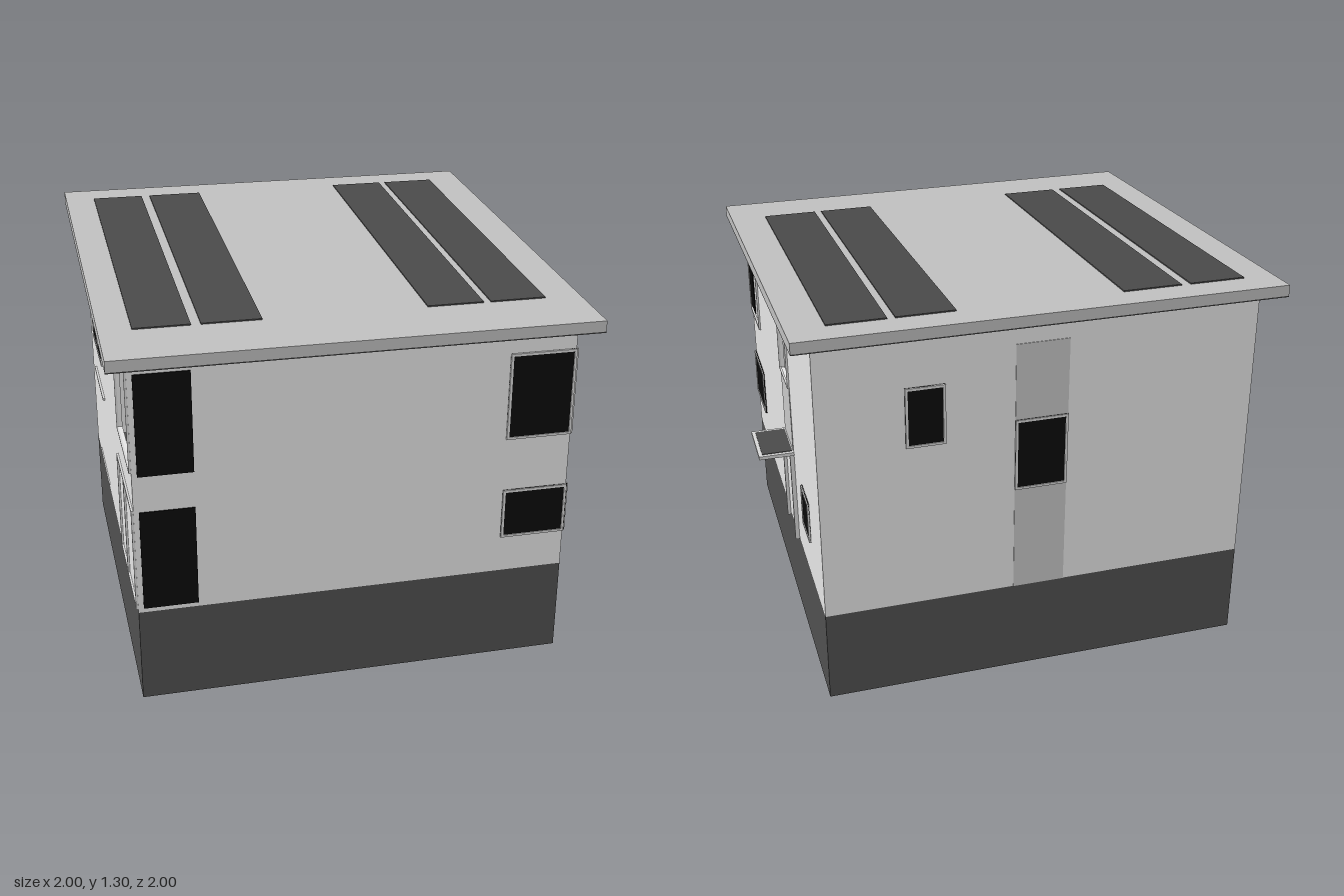
import * as THREE from 'three';

const HALF = 0.703;      // half width of the walls
const EAVE = 0.767;      // half width of the roof
const BASE = 0.315;      // height of the dark plinth
const SLOPE = 0.0717;    // fall of the roof towards the front
const TURN = -0.388;     // the house stands turned on its plot

const material = (name, color) => {
  const m = new THREE.MeshStandardMaterial({ color });
  m.name = name;
  return m;
};

export function createModel() {
  const wallMat = material('light render', 0xe6e6e6);
  const baseMat = material('dark plinth', 0x505050);
  const roofMat = material('roof grey', 0xc0c0c0);
  const panelMat = material('solar panel', 0x4a4a4a);
  const glassMat = material('black glass', 0x0b0b0b);
  const frameMat = material('frame', 0xd8d8d8);
  const stripeMat = material('grey cladding', 0xc8c8c8);

  const house = new THREE.Group();
  house.name = 'house';
  house.rotation.y = TURN;

  const add = (parent, name, geometry, mat) => {
    const mesh = new THREE.Mesh(geometry, mat);
    mesh.name = name;
    parent.add(mesh);
    return mesh;
  };

  // Plinth
  add(house, 'plinth', new THREE.BoxGeometry(2 * HALF, BASE, 2 * HALF), baseMat).position.y = BASE / 2;

  // Sloping slab: a box sheared along the fall of the roof; top is its height at z = 0
  const slab = (name, mat, x0, x1, z0, z1, top, thick) => {
    const g = new THREE.BoxGeometry(x1 - x0, thick, z1 - z0);
    g.translate((x0 + x1) / 2, top - thick / 2, (z0 + z1) / 2);
    const p = g.attributes.position;
    for (let i = 0; i < p.count; i++) p.setY(i, p.getY(i) - SLOPE * p.getZ(i));
    g.computeVertexNormals();
    add(house, name, g, mat);
  };
  slab('roof', roofMat, -EAVE, EAVE, -EAVE, EAVE, 1.2425, 0.035);
  slab('roofUnderside', baseMat, -EAVE, EAVE, -EAVE, EAVE, 1.2075, 0.004);
  for (const [x0, x1] of [[-0.665, -0.487], [-0.457, -0.268], [0.257, 0.441], [0.465, 0.647]])
    slab('solarPanel', panelMat, x0, x1, -0.66, 0.56, 1.2465, 0.004);

  // Rectangle outline used for walls' holes and frames
  const trace = (path, x0, x1, y0, y1) => {
    path.moveTo(x0, y0);
    path.lineTo(x1, y0);
    path.lineTo(x1, y1);
    path.lineTo(x0, y1);
    path.closePath();
    return path;
  };

  // Wall: local x runs to the right seen from outside, z = 0 is the outer face
  const makeWall = (name, angle, zLeft, zRight, holes = []) => {
    const group = new THREE.Group();
    group.name = name;
    group.rotation.y = angle;
    const shape = new THREE.Shape();
    shape.moveTo(-HALF, BASE);
    shape.lineTo(HALF, BASE);
    shape.lineTo(HALF, 1.206 - SLOPE * zRight);
    shape.lineTo(-HALF, 1.206 - SLOPE * zLeft);
    shape.closePath();
    for (const h of holes) shape.holes.push(trace(new THREE.Path(), ...h));
    const g = new THREE.ExtrudeGeometry(shape, { depth: 0.012, bevelEnabled: false });
    g.translate(0, 0, HALF - 0.012);
    add(group, name + 'Panel', g, wallMat);
    house.add(group);
    return group;
  };

  // Thin plate or box standing on the outer face of a wall
  const plate = (wall, name, mat, x0, x1, y0, y1, depth = 0.004) => {
    const g = new THREE.BoxGeometry(x1 - x0, y1 - y0, depth);
    g.translate((x0 + x1) / 2, (y0 + y1) / 2, HALF + depth / 2);
    add(wall, name, g, mat);
  };

  // Frame ring around an opening
  const frame = (wall, x0, x1, y0, y1, t = 0.008) => {
    const shape = trace(new THREE.Shape(), x0, x1, y0, y1);
    shape.holes.push(trace(new THREE.Path(), x0 + t, x1 - t, y0 + t, y1 - t));
    const g = new THREE.ExtrudeGeometry(shape, { depth: 0.007, bevelEnabled: false });
    g.translate(0, 0, HALF);
    add(wall, 'windowFrame', g, frameMat);
  };

  const glazed = (wall, x0, x1, y0, y1) => {
    plate(wall, 'windowGlass', glassMat, x0, x1, y0, y1);
    frame(wall, x0, x1, y0, y1);
  };

  // Front: two tall windows and the front halves of the corner windows
  const front = makeWall('frontWall', 0, HALF, HALF);
  for (const [y0, y1] of [[0.33, 0.665], [0.785, 1.115]]) {
    plate(front, 'tallWindow', glassMat, -0.686, -0.513, y0, y1);
    const inner = new THREE.BoxGeometry(0.173, y1 - y0, 0.003);
    inner.translate(-0.6, (y0 + y1) / 2, HALF - 0.0135);
    add(front, 'tallWindowInside', inner, glassMat);
  }
  glazed(front, 0.486, 0.703, 0.79, 1.08);
  glazed(front, 0.486, 0.703, 0.44, 0.61);

  // Right: corner windows, entrance with cladding and canopy, small window
  const right = makeWall('rightWall', Math.PI / 2, HALF, -HALF, [[0.04, 0.21, 0.88, 1.08]]);
  glazed(right, -0.703, -0.49, 0.44, 0.61);
  plate(right, 'cornerGlass', glassMat, -0.695, -0.6, 0.81, 1.07);
  frame(right, -0.703, -0.49, 0.79, 1.08);
  glazed(right, 0.363, 0.49, 0.46, 0.605);
  plate(right, 'lowerCladding', stripeMat, 0.04, 0.21, 0.65, 0.88, 0.002);
  plate(right, 'upperCladding', stripeMat, 0.04, 0.21, 1.08, 1.165, 0.002);
  frame(right, 0.04, 0.21, 0.88, 1.08, 0.004);
  plate(right, 'door', wallMat, 0.045, 0.205, BASE, 0.64, 0.003);
  for (const x of [0.035, 0.203]) plate(right, 'doorPost', frameMat, x, x + 0.012, 0.305, 0.64, 0.014);
  plate(right, 'canopy', frameMat, 0.035, 0.22, 0.636, 0.648, 0.117);
  const canopyTop = new THREE.BoxGeometry(0.161, 0.003, 0.1);
  canopyTop.translate(0.1275, 0.6485, HALF + 0.055);
  add(right, 'canopyTop', canopyTop, panelMat);

  // Back: cladding strip with stair window, plus one small window
  const back = makeWall('backWall', Math.PI, -HALF, -HALF);
  plate(back, 'cladding', stripeMat, -0.085, 0.085, BASE, 1.18, 0.002);
  glazed(back, -0.085, 0.085, 0.68, 0.925);
  glazed(back, -0.43, -0.305, 0.88, 1.08);

  // Left: double window, open loggia at the corner, terrace doors and sills
  const left = makeWall('leftWall', -Math.PI / 2, -HALF, HALF, [[0.35, 0.69, 0.8, 1.13]]);
  glazed(left, -0.526, -0.197, 0.8, 1.13);
  plate(left, 'mullion', frameMat, -0.368, -0.356, 0.8, 1.13, 0.007);
  frame(left, 0.346, 0.7, 0.796, 1.134, 0.004);
  frame(left, 0.27, 0.7, 0.325, 0.67);
  plate(left, 'terraceMullion', frameMat, 0.46, 0.472, 0.33, 0.665, 0.007);
  plate(left, 'upperSill', frameMat, -0.526, -0.197, 0.668, 0.676, 0.008);
  plate(left, 'lowerSill', frameMat, -0.526, -0.197, 0.33, 0.335, 0.005);

  const model = new THREE.Group();
  model.name = 'modernHouse';
  model.add(house);
  return model;
}
